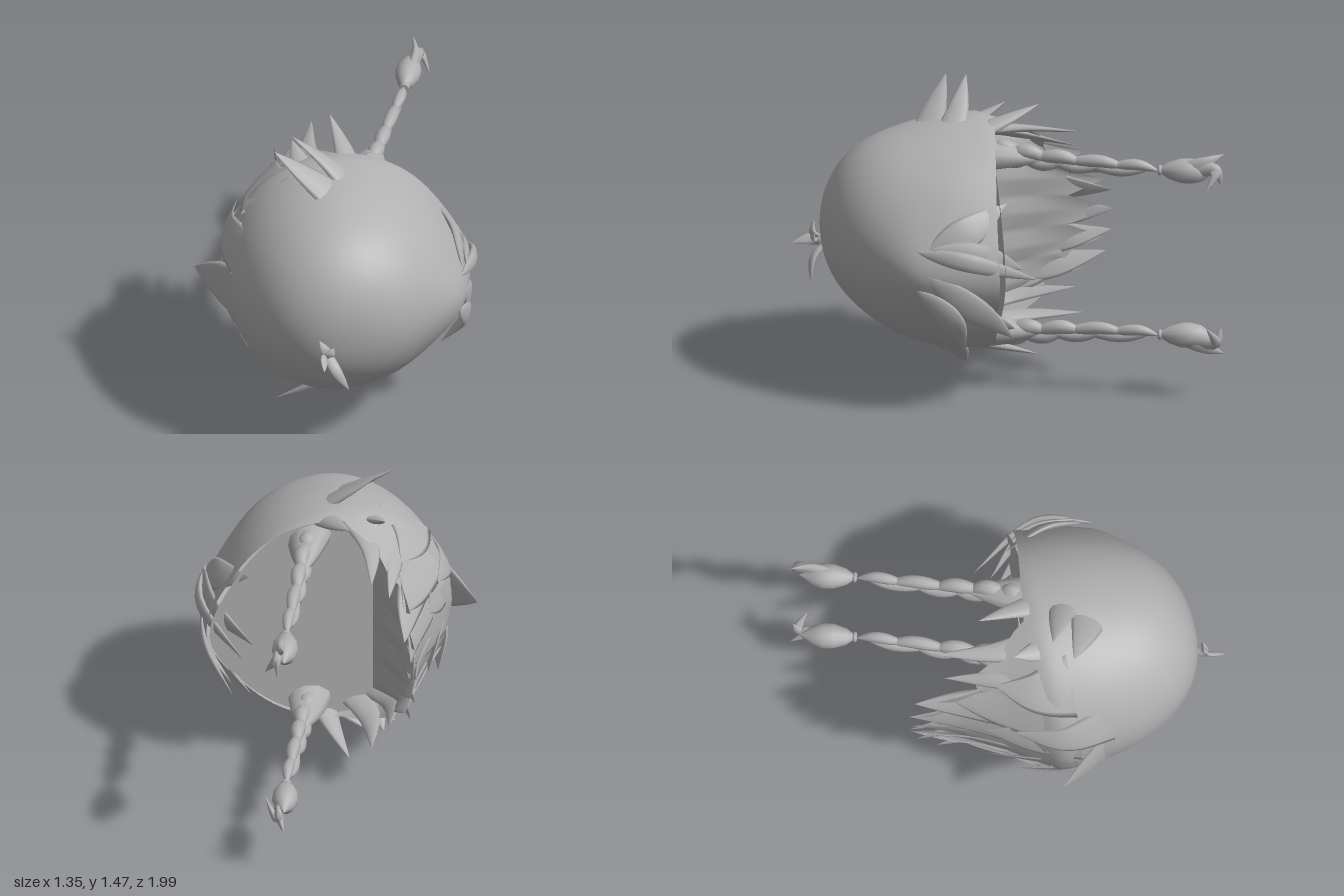
import * as THREE from 'three';

const hair = new THREE.MeshStandardMaterial({ color: 0xb0b0b0, side: THREE.DoubleSide });
hair.name = 'hair grey';
const V = (x, y, z) => new THREE.Vector3(x, y, z);
const MID = 0.74, RIM = 0.1, CROWN = 0.875;
const step = THREE.MathUtils.smoothstep;

// Point on the shell; angle 0 is the fringe, PI the nape
function shellPoint(angle, z, grow = 1) {
  const c = Math.cos(angle), s = Math.sin(angle);
  const t = Math.max(0, (z - RIM) / (CROWN - RIM)), k = Math.max(0, (RIM - z) / 0.68);
  const dome = p => Math.max(0, 1 - t ** p) ** (1 / p);
  const back = 0.55 * dome(2.2) - 0.34 * Math.sin(k * Math.PI / 2);
  const high = 0.57 * dome(2.2) - 0.22 * k;
  const off = Math.atan2(s, c) + 0.12;
  const fringe = 0.08 * Math.exp(-((off / 0.42) ** 2)) * step(0.8 - z, 0, 0.3);
  const mid = MID + 0.015 + 0.03 * step(z, 0.4, 0.8) - 0.015 * step(k, 0, 0.4);
  return V(c * ((c > 0 ? 0.58 * dome(2.4) : back) + fringe) * grow - 0.04 * t, mid + s * high * grow, z);
}

function gridMesh(name, rows, cols, wrap, fn) {
  const pos = [], idx = [], n = wrap ? cols : cols + 1;
  for (let r = 0; r <= rows; r++)
    for (let c = 0; c < n; c++) pos.push(...fn(r / rows, c / cols).toArray());
  for (let r = 0; r < rows; r++)
    for (let c = 0; c < cols; c++) {
      const a = r * n + c, b = r * n + (c + 1) % n;
      idx.push(a, a + n, b, b, a + n, b + n);
    }
  const g = new THREE.BufferGeometry();
  g.setAttribute('position', new THREE.Float32BufferAttribute(pos, 3));
  g.setIndex(idx);
  g.computeVertexNormals();
  const m = new THREE.Mesh(g, hair);
  m.name = name;
  return m;
}

// Width along a lock: a blade is widest at its root, a spindle in its middle, a leaf is pointed at both ends
const blade = s => (1 - s) * (1 + 0.7 * s);
const spindle = s => (s + 0.25) * (1 - s) / 0.39;
const leaf = s => Math.sin(Math.PI * s ** 0.8);

// Lens-shaped lock following a curve; its width lies across the outward direction
function lock(name, pts, w, t, out, profile = blade) {
  const curve = new THREE.CatmullRomCurve3(pts);
  return gridMesh(name, 12, 10, true, (s, u) => {
    const p = curve.getPoint(s), tan = curve.getTangent(s);
    const o = out ? out.clone() : p.clone().sub(V(0, MID, 0.25));
    const side = tan.clone().cross(o).normalize();
    const nrm = side.clone().cross(tan).normalize();
    const f = profile(s), a = -u * Math.PI * 2;
    return p.addScaledVector(side, Math.cos(a) * w * f).addScaledVector(nrm, Math.sin(a) * t * f);
  });
}

// Side spikes and braid, built for the upper side and mirrored for the lower
function sideHair(sign) {
  const g = new THREE.Group();
  g.name = sign > 0 ? 'upperSideHair' : 'lowerSideHair';
  const P = (x, y, z) => V(x, MID + sign * (y - MID), z);
  const spike = (a, b, c, w) => g.add(lock('sideSpike', [P(...a), P(...b), P(...c)], w, 0.03));
  spike([0.02, 1.22, 0.38], [-0.13, 1.33, 0.31], [-0.3, 1.45, 0.22], 0.1);
  spike([0.08, 1.24, 0.28], [-0.04, 1.35, 0.21], [-0.2, 1.475, 0.14], 0.08);
  spike([0.08, 1.25, 0.2], [0.06, 1.31, 0.02], [0.02, 1.38, -0.18], 0.07);
  spike([-0.1, 1.22, 0.25], [-0.16, 1.28, 0.05], [-0.18, 1.33, -0.05], 0.07);
  spike([-0.06, 1.24, 0.25], [-0.1, 1.22, -0.08], [-0.04, 1.2, -0.4], 0.08);
  spike([-0.18, 1.2, 0.2], [-0.22, 1.16, -0.05], [-0.13, 1.1, -0.38], 0.09);

  // Gathered hair leading into the braid
  g.add(lock('braidRoot', [P(0.04, 1.13, 0.4), P(0.15, 1.19, 0.12), P(0.26, 1.18, -0.2)], 0.11, 0.08, null, spindle));
  const path = new THREE.CatmullRomCurve3([
    P(0.12, 1.2, 0.12), P(0.21, 1.19, -0.05), P(0.31, 1.17, -0.32), P(0.45, 1.16, -0.69)]);
  const N = 10;
  for (let i = 0; i < N; i++) {
    const s0 = i / N * 0.92, s1 = Math.min(s0 + 0.24, 1), k = i % 2 ? 1 : -1;
    const size = 0.046 - 0.022 * s0, e = size * 0.7;
    const at = (s, d) => path.getPoint(s).add(V(d * 0.35, d, 0));
    g.add(lock('braidStrand', [at(s0, k * e * 0.5), at((s0 + s1) / 2, k * e), at(s1, -k * e * 0.4)],
      size, size, V(1, 0, 0.4), spindle));
  }
  const tie = new THREE.Mesh(new THREE.TorusGeometry(0.015, 0.011, 8, 16), hair);
  tie.name = 'braidTie';
  tie.position.copy(P(0.45, 1.16, -0.69));
  tie.lookAt(P(0.5, 1.16, -0.85));
  g.add(tie);

  // Bulb-shaped braid end with curling tips
  const bulb = new THREE.Mesh(new THREE.LatheGeometry(
    [[0.012, 0], [0.04, 0.04], [0.06, 0.1], [0.062, 0.15], [0.05, 0.2], [0, 0.27]]
      .map(([r, h]) => new THREE.Vector2(r, h)), 14), hair);
  bulb.name = 'braidEnd';
  bulb.position.copy(P(0.45, 1.16, -0.69));
  bulb.quaternion.setFromUnitVectors(V(0, 1, 0), V(0.26, 0, -0.96).normalize());
  g.add(bulb);
  const tip = (b, c, w) => g.add(lock('braidTip', [P(0.49, 1.16, -0.8), P(...b), P(...c)], w, 0.03, V(1, 0, 0.2)));
  tip([0.53, 1.21, -0.9], [0.53, 1.25, -0.99], 0.05);
  tip([0.56, 1.18, -0.94], [0.6, 1.09, -0.89], 0.045);
  tip([0.55, 1.18, -0.94], [0.56, 1.1, -0.97], 0.045);
  return g;
}

export function createModel() {
  const model = new THREE.Group();
  model.name = 'hair';

  // Main shell: short at the fringe, long and ragged at the nape
  const edge = a => {
    const k = Math.max(0, -Math.cos(a));
    return 0.04 + 0.09 * Math.max(0, Math.cos(a)) - 0.42 * k ** 0.8 - 0.05 * k * Math.cos(a * 12);
  };
  model.add(gridMesh('shell', 40, 84, true, (v, u) => {
    const a = u * Math.PI * 2;
    return shellPoint(a, CROWN - (CROWN - edge(a)) * v ** 1.8);
  }));

  // Flat scalp closing the shell in front of the inner curtain
  model.add(gridMesh('scalp', 1, 64, true, (v, u) => {
    const p = shellPoint(u * Math.PI * 2, RIM, 0.985);
    return v ? p : V(0.05, MID, RIM);
  }));

  // Inner curtain behind the face opening, ending in broad points
  model.add(gridMesh('innerCurtain', 12, 60, false, (v, u) => {
    const k = u * 2 - 1, zig = Math.abs(((u * 5) % 1) - 0.5) * 2;
    const end = -0.57 + 0.2 * k * k + 0.2 * zig;
    return V(-0.16 - 0.06 * v - 0.03 * Math.sin(v * Math.PI), MID + k * (0.48 - 0.11 * v), RIM + (end - RIM) * v);
  }));

  // Shingled nape locks: [angles from the nape, root z, tip z, width, tip spread]
  const layers = [
    [[-0.42, 0.42], 0.36, -0.13, 0.12, 1.25],
    [[-0.9, -0.3, 0.3, 0.9], 0.2, -0.25, 0.16, 1.22],
    [[-0.65, 0, 0.65], 0.05, -0.42, 0.16, 1.05],
    [[-0.6, -0.3, 0, 0.3, 0.6], -0.1, -0.58, 0.11, 0.95],
  ];
  for (const [angles, z0, z1, w, spread] of layers)
    for (const d of angles) {
      const a = Math.PI + d, end = z1 + 0.12 * d * d;
      const flare = 1 + (spread - 1) * Math.cos(d) ** 2;
      model.add(lock('napeLock', [shellPoint(a, z0, 0.975),
        shellPoint(a + 0.04, (z0 + end) / 2, 1.01), shellPoint(a, end, flare)], w, 0.014));
    }
  model.add(lock('backSpike', [V(-0.44, 0.74, 0.44), V(-0.57, 0.74, 0.24), V(-0.67, 0.73, 0.08)], 0.17, 0.025));

  // Swept fringe locks
  const fringe = [
    [[0.57, 0.86, 0.52], [0.66, 0.81, 0.25], [0.52, 0.66, -0.09], 0.045],
    [[0.6, 0.88, 0.45], [0.615, 0.82, 0.2], [0.46, 0.7, -0.02], 0.07],
    [[0.59, 0.74, 0.48], [0.63, 0.56, 0.24], [0.54, 0.38, 0.04], 0.07],
    [[0.56, 0.66, 0.52], [0.61, 0.52, 0.36], [0.5, 0.32, 0.27], 0.06],
    [[0.58, 0.87, 0.46], [0.57, 0.95, 0.26], [0.46, 1.04, 0.06], 0.08],
    [[0.47, 0.56, 0.38], [0.52, 0.46, 0.18], [0.46, 0.4, 0.02], 0.08],
  ];
  for (const [a, b, c, w] of fringe)
    model.add(lock('fringeLock', [V(...a), V(...b), V(...c)], w, 0.018, null, leaf));

  // Small tuft at the crown
  for (const [b, c] of [
    [[-0.15, 0.7, 0.92], [-0.16, 0.68, 1.0]], [[-0.09, 0.62, 0.91], [-0.03, 0.52, 0.93]],
    [[-0.14, 0.73, 0.9], [-0.17, 0.79, 0.89]], [[-0.12, 0.71, 0.9], [-0.1, 0.75, 0.9]]])
    model.add(lock('crownTuft', [V(-0.13, 0.69, 0.84), V(...b), V(...c)], 0.028, 0.012, V(0.3, 0.2, 1), spindle));

  model.add(sideHair(1), sideHair(-1));
  return model;
}
